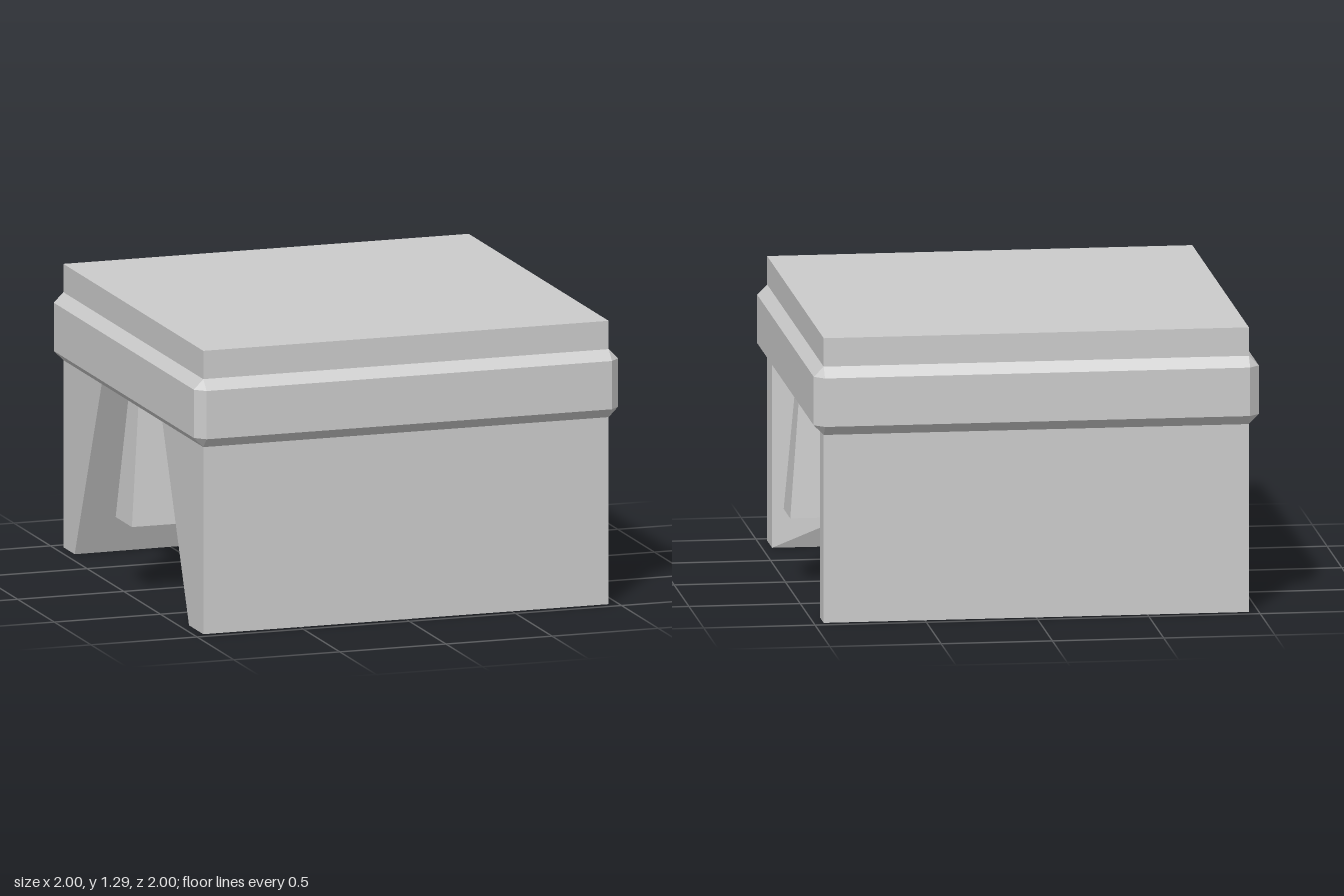
import * as THREE from 'three';
import { ConvexGeometry } from 'three/addons/geometries/ConvexGeometry.js';

const material = new THREE.MeshStandardMaterial({ color: 0xcccccc, flatShading: true });

// Flat-faced convex solid from its corner points
function solid(name, corners) {
  const points = corners.map(([x, y, z]) => new THREE.Vector3(x, y, z));
  const mesh = new THREE.Mesh(new ConvexGeometry(points), material);
  mesh.name = name;
  return mesh;
}

// Box with every edge chamfered, given half sizes
function chamferedBox(name, hx, hy, hz, c) {
  const corners = [];
  for (const x of [-1, 1]) for (const y of [-1, 1]) for (const z of [-1, 1]) {
    corners.push([x * hx, y * (hy - c), z * (hz - c)]);
    corners.push([x * (hx - c), y * hy, z * (hz - c)]);
    corners.push([x * (hx - c), y * (hy - c), z * hz]);
  }
  return solid(name, corners);
}

// Slab leg: straight at the +x end, its inner face flaring out at the top of the -x end
function slabLeg(name, side, inner, flareBottom, flareTop) {
  const w = 0.955, h = 0.855, outer = 0.955;
  return solid(name, [
    [w, 0, outer], [w, h, outer], [-w, 0, outer], [-w, h, outer],
    [w, 0, inner], [w, h, inner], [-w, 0, flareBottom], [-w, h, flareTop],
  ].map(([x, y, z]) => [x, y, z * side]));
}

export function createModel() {
  const model = new THREE.Group();
  model.name = 'stool';

  // Seat slab
  const seat = new THREE.Mesh(new THREE.BoxGeometry(1.91, 0.15, 1.91), material);
  seat.name = 'seat';
  seat.position.y = 1.217;
  model.add(seat);

  // Chamfered frame below the seat
  const frame = chamferedBox('seatFrame', 1, 0.155, 1, 0.045);
  frame.position.y = 1.008;
  model.add(frame);

  // Front and back legs
  model.add(slabLeg('frontLeg', 1, 0.79, 0.76, 0.395));
  model.add(slabLeg('backLeg', -1, 0.83, 0.8, 0.43));

  // Tapered middle beam hanging between the legs
  const beam = [];
  for (const x of [-1, 1]) {
    beam.push([x * 0.95, 0.855, 0.055], [x * 0.95, 0.855, -0.083]);
    beam.push([x * 0.995, 0.313, 0.097], [x * 0.995, 0.313, -0.125]);
  }
  model.add(solid('middleBeam', beam));

  return model;
}
